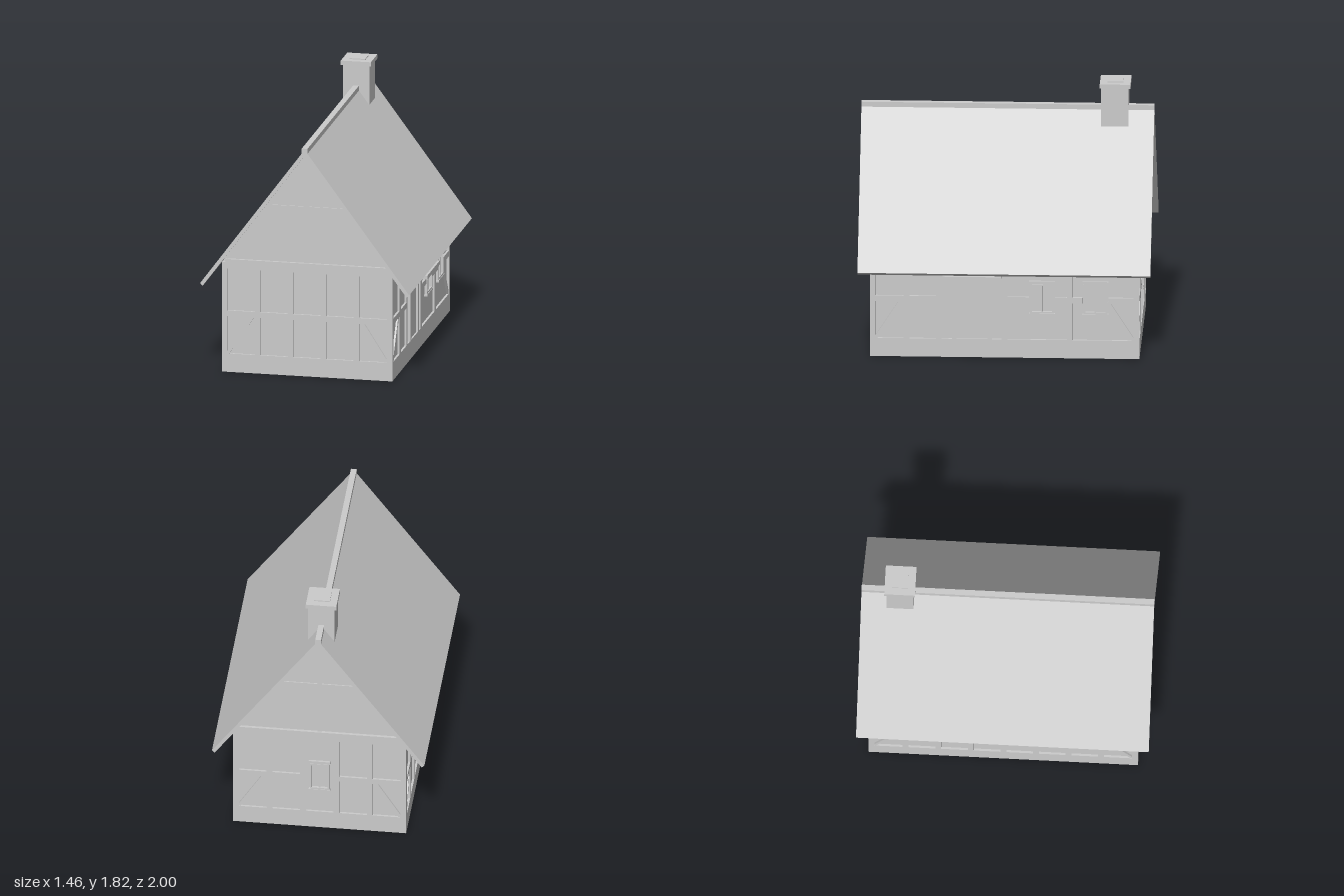
import * as THREE from 'three';

const material = new THREE.MeshStandardMaterial({ color: 0xcccccc, flatShading: true });
const HALF_X = 0.58, HALF_Z = 0.905; // plaster core
const TIMBER = 0.015; // how far the frame stands out of the plaster
const POST = 0.04, SLOPE = 1.352;
const SILL_TOP = 0.13, PLATE = 0.73, RAIL = 0.415;

function mesh(parent, name, geometry) {
  const m = new THREE.Mesh(geometry, material);
  m.name = name;
  parent.add(m);
  return m;
}

// Box given by its limits on each axis
function box(parent, name, x0, x1, y0, y1, z0, z1) {
  const m = mesh(parent, name, new THREE.BoxGeometry(x1 - x0, y1 - y0, z1 - z0));
  m.position.set((x0 + x1) / 2, (y0 + y1) / 2, (z0 + z1) / 2);
  return m;
}

// Profile in x,y extruded evenly to both sides of z = 0
function prism(parent, name, points, depth) {
  const shape = new THREE.Shape(points.map(([x, y]) => new THREE.Vector2(x, y)));
  const geometry = new THREE.ExtrudeGeometry(shape, { depth, bevelEnabled: false });
  return mesh(parent, name, geometry.translate(0, 0, -depth / 2));
}

// Timber lying on a wall, in the wall's own coordinates (z points outwards)
const timber = (wall, name, x0, x1, y0, y1, depth = TIMBER) =>
  box(wall, name, x0, x1, y0, y1, -0.005, depth);

// Slanted timber between two points of a wall
function brace(wall, name, ax, ay, bx, by, width, depth = TIMBER - 0.002) {
  const length = Math.hypot(bx - ax, by - ay);
  const m = mesh(wall, name, new THREE.BoxGeometry(length, width, depth + 0.005));
  m.position.set((ax + bx) / 2, (ay + by) / 2, (depth - 0.005) / 2);
  m.rotation.z = Math.atan2(by - ay, bx - ax);
}

function windowUnit(wall, x, width = 0.15) {
  const g = new THREE.Group();
  g.name = 'window';
  g.position.x = x;
  wall.add(g);
  const w = width / 2, y0 = 0.32, y1 = 0.53, f = 0.012;
  for (const s of [-1, 1]) {
    timber(g, 'windowJamb', s * w - f / 2, s * w + f / 2, y0, y1, 0.018);
  }
  timber(g, 'windowMullion', -0.005, 0.005, y0, y1, 0.012);
  timber(g, 'windowHead', -w - f / 2, w + f / 2, y1 - f, y1, 0.018);
  timber(g, 'windowFoot', -w - f / 2, w + f / 2, y0, y0 + f, 0.018);
  timber(g, 'windowLintel', -w - 0.015, w + 0.015, y1, y1 + 0.02);
  timber(g, 'windowSill', -w - 0.015, w + 0.015, y0 - 0.015, y0, 0.022);
}

// One framed wall: sill, top plate, posts, middle rails and corner braces
function framedWall(house, name, angle, half, offset, posts, rails) {
  const wall = new THREE.Group();
  wall.name = name;
  wall.rotation.y = angle;
  wall.position.set(Math.sin(angle) * offset, 0, Math.cos(angle) * offset);
  house.add(wall);
  const end = half + TIMBER;
  timber(wall, 'sillBeam', -end, end, 0, SILL_TOP);
  timber(wall, 'topPlate', -end, end, PLATE, 0.775);
  for (const x of posts) timber(wall, 'post', x - POST / 2, x + POST / 2, SILL_TOP, PLATE);
  for (const [a, b] of rails) timber(wall, 'middleRail', a, b, RAIL - 0.02, RAIL + 0.02);
  for (const s of [-1, 1]) {
    timber(wall, 'cornerPost', Math.min(s * end, s * (end - 0.04)),
      Math.max(s * end, s * (end - 0.04)), SILL_TOP, PLATE);
    brace(wall, 'cornerBrace', s * (half - 0.025), SILL_TOP, s * (half - 0.2), RAIL - 0.01, 0.022);
  }
  return wall;
}

// Timbers of the triangular gable
function gable(wall) {
  timber(wall, 'gableTieBeam', -0.57, 0.57, 0.77, 0.8, TIMBER + 0.005);
  timber(wall, 'kingPost', -0.015, 0.015, 0.8, 1.56, 0.008);
  timber(wall, 'collarBeam', -0.28, 0.28, 1.17, 1.2, 0.008);
  for (const s of [-1, 1]) {
    brace(wall, 'gableRafter', s * 0.575, 0.795, s * 0.005, 1.565, 0.022);
  }
}

export function createModel() {
  const house = new THREE.Group();
  house.name = 'timberFrameHouse';

  // Plaster core with both gables
  const apex = 1.585, shoulder = apex - SLOPE * HALF_X;
  prism(house, 'plasterWalls', [[-HALF_X, 0], [HALF_X, 0], [HALF_X, shoulder],
    [0, apex], [-HALF_X, shoulder]], 2 * HALF_Z);

  // Gable walls
  const endPosts = [-0.345, -0.115, 0.115, 0.345];
  const front = framedWall(house, 'frontWall', 0, HALF_X, HALF_Z, endPosts, [[-0.58, 0.58]]);
  const back = framedWall(house, 'backWall', Math.PI, HALF_X, HALF_Z, endPosts,
    [[-0.58, -0.1], [0.1, 0.58]]);
  gable(front);
  gable(back);
  windowUnit(back, 0, 0.12);

  // Long wall with the door and two windows
  const doorWall = framedWall(house, 'doorWall', Math.PI / 2, HALF_Z, HALF_X,
    [-0.67, -0.45, 0, 0.445], [[-0.9, -0.45], [0, 0.165], [0.345, 0.53], [0.71, 0.9]]);
  windowUnit(doorWall, 0.255);
  windowUnit(doorWall, 0.62);

  // Door with frame and canopy
  timber(doorWall, 'door', -0.34, -0.105, SILL_TOP, 0.59, 0.004);
  for (const x of [-0.345, -0.1]) {
    timber(doorWall, 'doorJamb', x - 0.015, x + 0.015, SILL_TOP, 0.6, 0.018);
  }
  timber(doorWall, 'doorLintel', -0.45, 0, 0.6, 0.64);
  timber(doorWall, 'doorCanopy', -0.42, -0.02, 0.592, 0.62, 0.15);

  // Opposite long wall in eight even bays
  const sidePosts = [];
  for (let i = -3; i <= 3; i++) sidePosts.push(i * 0.2225);
  const plainWall = framedWall(house, 'plainWall', -Math.PI / 2, HALF_Z, HALF_X,
    sidePosts, [[-0.9, 0.2225], [0.445, 0.9]]);
  windowUnit(plainWall, 0.333, 0.13);

  // Roof slabs and ridge cap
  prism(house, 'roof', [[0, 1.627], [-0.73, 0.64], [-0.712, 0.622], [0, apex],
    [0.712, 0.622], [0.73, 0.64]], 2);
  box(house, 'ridgeCap', -0.02, 0.02, 1.58, 1.635, -1, 1);

  // Chimney
  box(house, 'chimneyStack', -0.092, 0.092, 1.42, 1.78, -0.825, -0.64);
  box(house, 'chimneyCap', -0.105, 0.105, 1.778, 1.808, -0.84, -0.63);
  box(house, 'chimneyFlue', -0.055, 0.055, 1.8, 1.815, -0.79, -0.68);

  return house;
}
